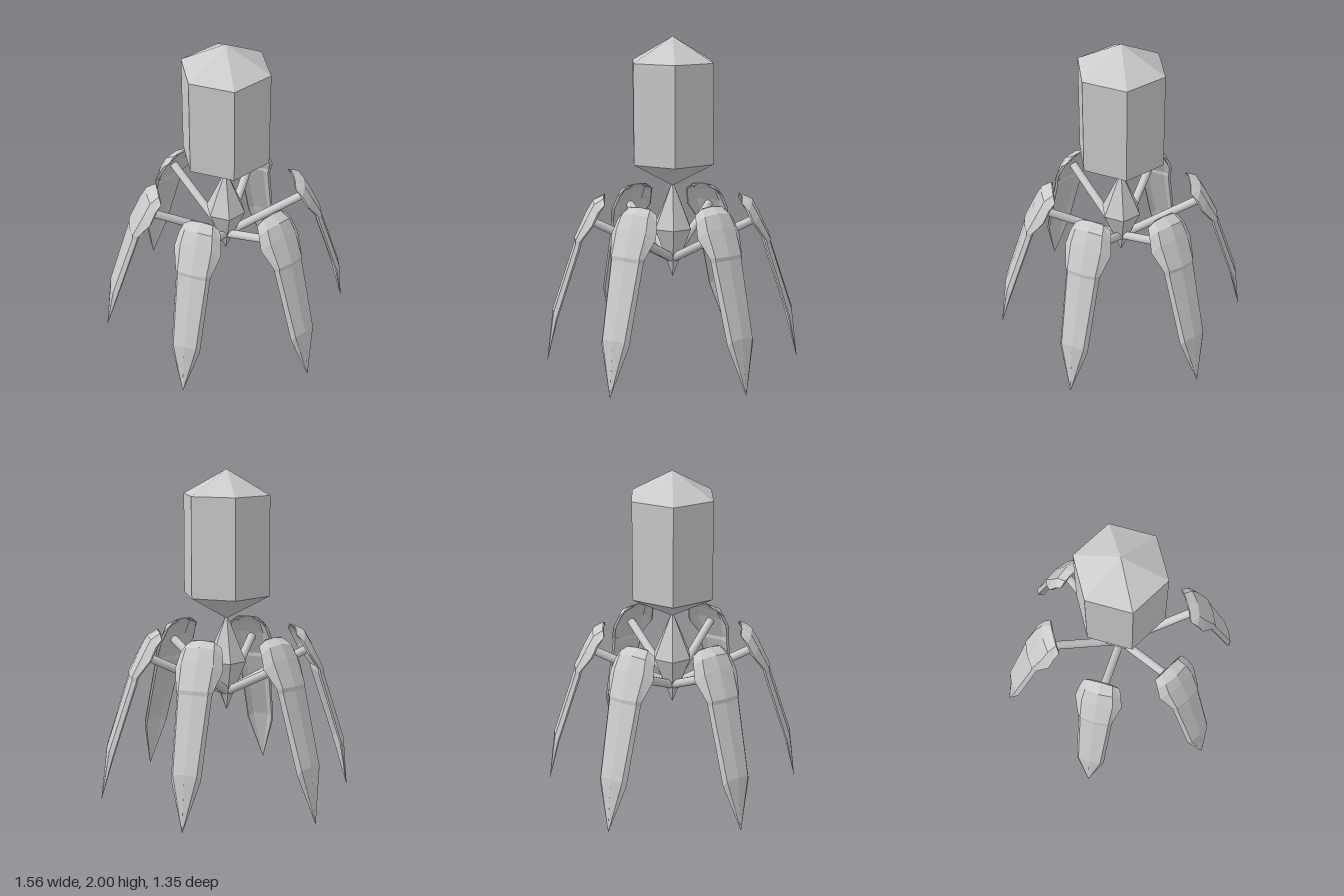
import * as THREE from 'three';

const flat = new THREE.MeshStandardMaterial({ color: 0xcccccc, flatShading: true });
const smooth = new THREE.MeshStandardMaterial({ color: 0xcccccc });

// Six-sided solid of stacked rings: [radius, y] from bottom to top, corners on +z and -z
function hexSolid(name, profile) {
  const points = profile.map(([r, y]) => new THREE.Vector2(r, y));
  const mesh = new THREE.Mesh(new THREE.LatheGeometry(points, 6), flat);
  mesh.name = name;
  return mesh;
}

// Leg rows from top to tip:
// [outer centre reach, y, side edge reach, y, half width, bevel fraction, shell thickness]
const legRows = [
  [0.420, 1.045, 0.410, 1.005, 0.112, 0.62, 0.008],
  [0.485, 1.015, 0.440, 0.965, 0.130, 0.66, 0.035],
  [0.528, 0.940, 0.480, 0.885, 0.146, 0.66, 0.032],
  [0.600, 0.785, 0.555, 0.780, 0.112, 0.80, 0.030],
  [0.600, 0.762, 0.560, 0.750, 0.106, 0.84, 0.030],
  [0.740, 0.335, 0.708, 0.295, 0.090, 0.80, 0.022],
  [0.780, 0.005, 0.778, 0.005, 0.001, 0.80, 0.002],
];

// Cross-section of the hollow-backed leg shell
function legSection([rc, yc, re, ye, w, f, t]) {
  const mix = (a, b) => a + (b - a) * 0.22;
  const half = [
    [mix(rc, re), mix(yc, ye), w * f],
    [re + t * 0.3, ye, w],
    [re - t * 0.1, ye, w * 0.9],
    [rc - t, yc - t * 0.5, w * 0.55],
  ];
  const mirrored = half.map(([x, y, z]) => [x, y, -z]).reverse();
  return [[rc, yc, 0], ...half, ...mirrored];
}

function legGeometry() {
  const rings = legRows.map(legSection);
  const n = rings[0].length;
  const pos = [];
  const tri = (a, b, c) => pos.push(...a, ...b, ...c);
  for (let i = 0; i < rings.length - 1; i++) {
    for (let j = 0; j < n; j++) {
      const k = (j + 1) % n;
      const a = rings[i][j], b = rings[i][k], c = rings[i + 1][j], d = rings[i + 1][k];
      tri(a, b, c);
      tri(b, d, c);
    }
  }
  // Top and tip caps
  const top = rings[0], tip = rings[rings.length - 1];
  for (let j = 1; j < n - 1; j++) {
    tri(top[0], top[j + 1], top[j]);
    tri(tip[0], tip[j], tip[j + 1]);
  }
  const geometry = new THREE.BufferGeometry();
  geometry.setAttribute('position', new THREE.Float32BufferAttribute(pos, 3));
  geometry.computeVertexNormals();
  return geometry;
}

// Round strut from the spindle to the inside of a leg head
function strutGeometry() {
  const path = new THREE.LineCurve3(new THREE.Vector3(0, 0.645, 0), new THREE.Vector3(0.525, 0.9, 0));
  return new THREE.TubeGeometry(path, 1, 0.026, 16, false);
}

export function createModel() {
  const model = new THREE.Group();
  model.name = 'sixLeggedCapsule';

  // Head capsule and the spindle hanging below it
  model.add(hexSolid('headCapsule', [[0, 1.1], [0.272, 1.25], [0.272, 1.85], [0, 2]]));
  model.add(hexSolid('spindle', [[0, 0.53], [0.125, 0.84], [0, 1.13]]));

  // Six legs, each on its own strut
  const legGeo = legGeometry();
  const strutGeo = strutGeometry();
  for (let i = 0; i < 6; i++) {
    const limb = new THREE.Group();
    limb.name = `limb${i + 1}`;
    const leg = new THREE.Mesh(legGeo, flat);
    leg.name = 'leg';
    const strut = new THREE.Mesh(strutGeo, smooth);
    strut.name = 'strut';
    limb.add(leg, strut);
    limb.rotation.y = (i * Math.PI) / 3;
    model.add(limb);
  }
  return model;
}
